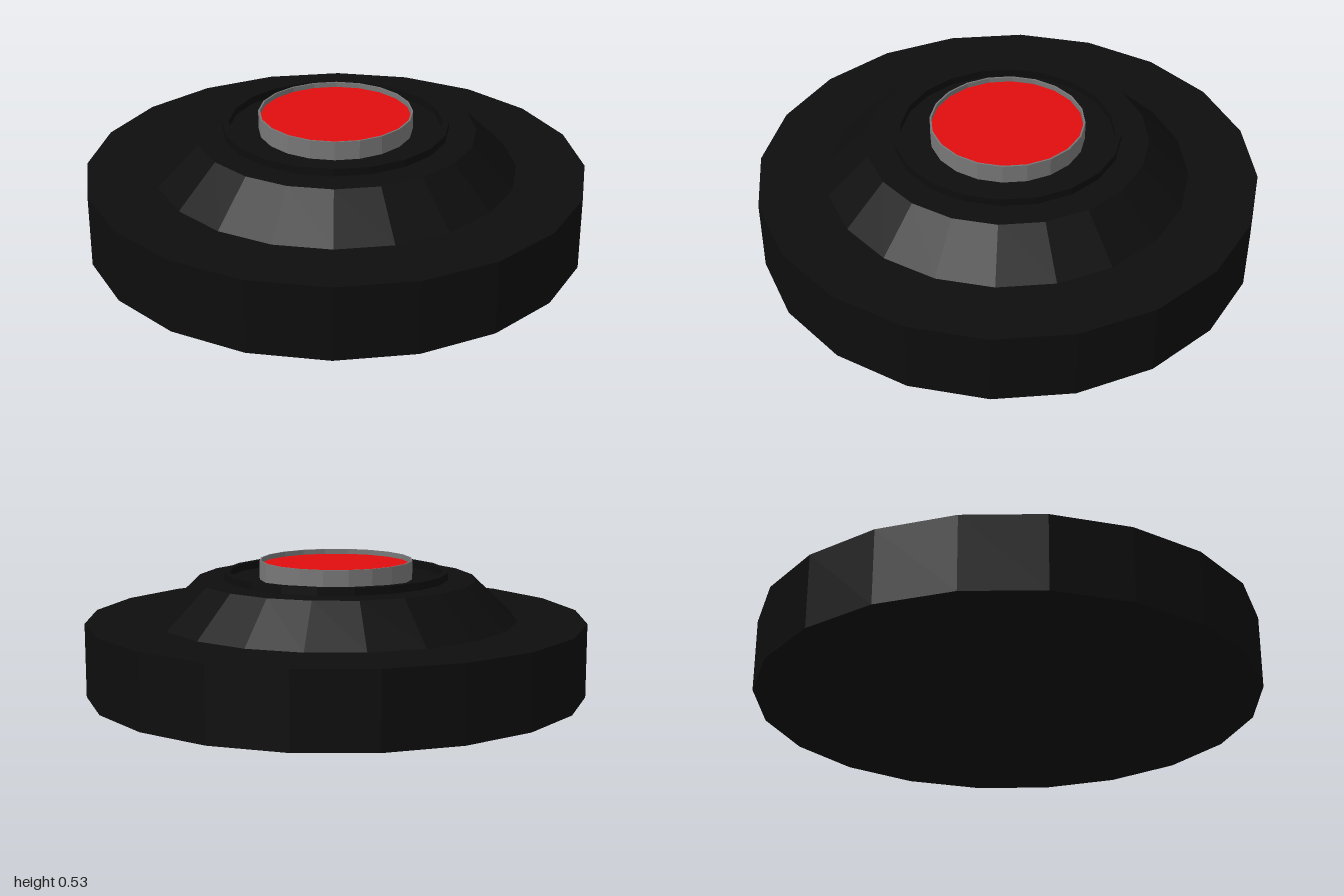
import * as THREE from 'three';

const SIDES = 20;

// Faceted solid of revolution from [radius, height] pairs, listed bottom to top
function turned(name, color, points) {
  const profile = points.map(([r, y]) => new THREE.Vector2(r, y));
  const material = new THREE.MeshStandardMaterial({ color, flatShading: true, side: THREE.DoubleSide });
  const mesh = new THREE.Mesh(new THREE.LatheGeometry(profile, SIDES), material);
  mesh.name = name;
  return mesh;
}

export function createModel() {
  const group = new THREE.Group();
  group.name = 'roundButton';
  const black = 0x0d0d0d;

  // Wide base with a sloped shoulder
  group.add(turned('base', black, [
    [0, 0], [1, 0], [1, 0.295], [0.725, 0.295], [0.56, 0.455], [0, 0.455],
  ]));

  // Thin raised rim around the button well
  group.add(turned('rim', black, [
    [0.45, 0.455], [0.45, 0.485], [0.425, 0.485], [0.425, 0.455],
  ]));

  // Metal collar holding the button
  group.add(turned('collar', 0x777777, [
    [0.307, 0.455], [0.307, 0.53], [0.3, 0.53], [0.3, 0.455],
  ]));

  // Red button face, slightly sunk in the collar
  group.add(turned('buttonFace', 0xe00d0d, [
    [0.3, 0.455], [0.3, 0.51], [0, 0.51],
  ]));

  return group;
}
